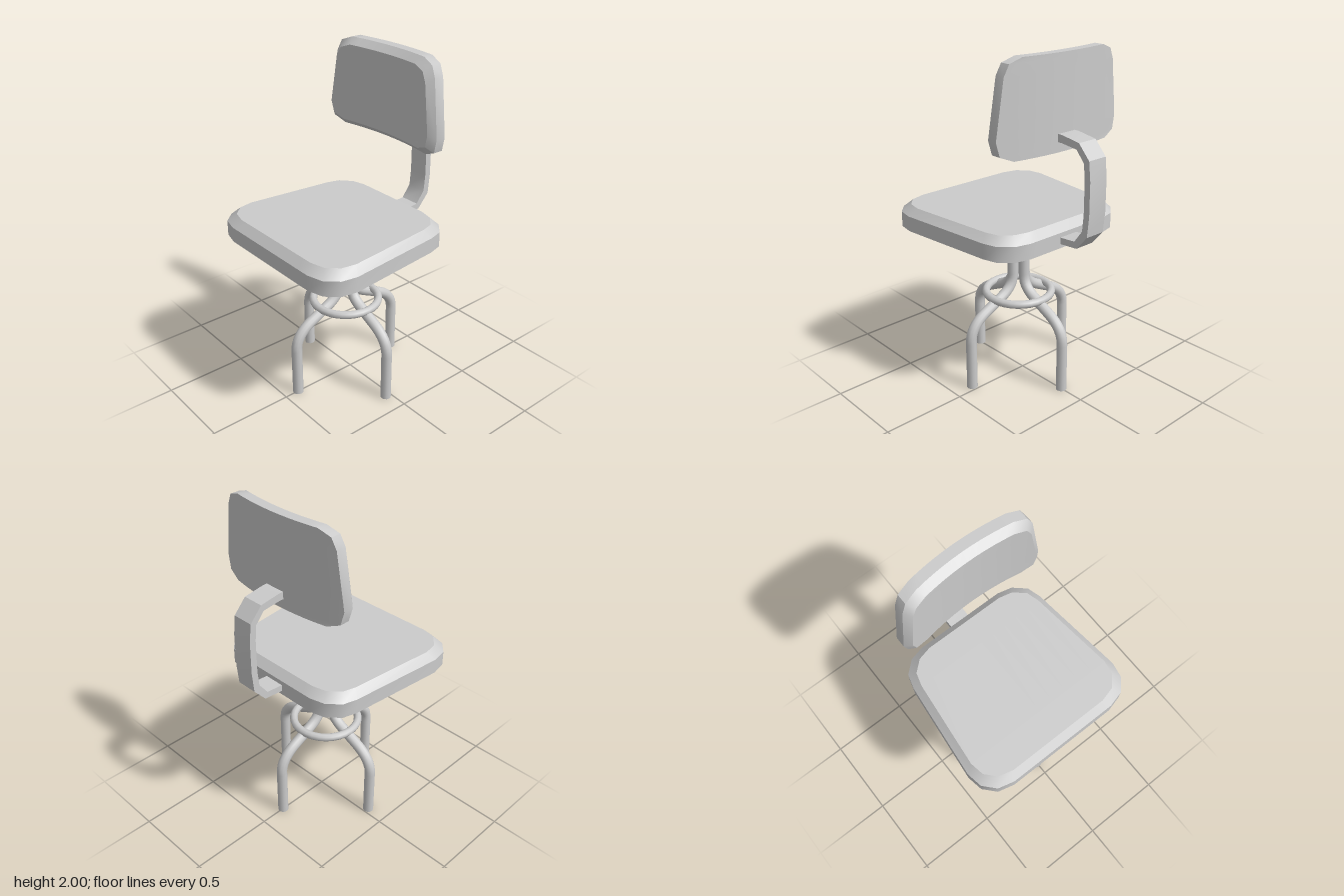
import * as THREE from 'three';
import { toCreasedNormals } from 'three/addons/utils/BufferGeometryUtils.js';

const material = new THREE.MeshStandardMaterial({ color: 0xcccccc });
const CREASE = 0.6;
const BASE_Z = 0.035; // the stand sits slightly forward of the centre

function addMesh(parent, name, geometry) {
  const mesh = new THREE.Mesh(geometry, material);
  mesh.name = name;
  parent.add(mesh);
  return mesh;
}

// Padded panel facing +z. rows: [half width, y] from top to bottom.
// layers: [z, x scale, y scale] from back to front. bend: z = bend * x^2.
function cushion(rows, layers, midY, bend) {
  const cols = 10, last = rows.length - 1, pos = [];
  const point = (layer, r, c) => {
    const [z, sx, sy] = layer;
    const x = rows[r][0] * sx * (2 * c / cols - 1);
    return [x, midY + (rows[r][1] - midY) * sy, z + bend * x * x];
  };
  const quad = (a, b, c, d) => pos.push(...a, ...b, ...c, ...a, ...c, ...d);

  // Counterclockwise walk round the edge of the grid
  const rim = [];
  for (let c = cols; c > 0; c--) rim.push([0, c]);
  for (let r = 0; r < last; r++) rim.push([r, 0]);
  for (let c = 0; c < cols; c++) rim.push([last, c]);
  for (let r = last; r > 0; r--) rim.push([r, cols]);

  for (let l = 0; l < layers.length - 1; l++) {
    const [a, b] = [layers[l], layers[l + 1]];
    rim.forEach((p, i) => {
      const q = rim[(i + 1) % rim.length];
      quad(point(a, ...p), point(a, ...q), point(b, ...q), point(b, ...p));
    });
  }

  // Front and back faces
  const front = layers[layers.length - 1], back = layers[0];
  for (let r = 0; r < last; r++) {
    for (let c = 0; c < cols; c++) {
      quad(point(front, r + 1, c), point(front, r + 1, c + 1), point(front, r, c + 1), point(front, r, c));
      quad(point(back, r, c), point(back, r, c + 1), point(back, r + 1, c + 1), point(back, r + 1, c));
    }
  }
  const geometry = new THREE.BufferGeometry();
  geometry.setAttribute('position', new THREE.Float32BufferAttribute(pos, 3));
  return toCreasedNormals(geometry, CREASE);
}

// Bent leg tube in the xy plane, running outwards along +x
function legGeometry() {
  const v = (x, y) => new THREE.Vector3(x, y, 0);
  const path = new THREE.CurvePath();
  path.add(new THREE.LineCurve3(v(0.047, 0.82), v(0.047, 0.64)));
  path.add(new THREE.QuadraticBezierCurve3(v(0.047, 0.64), v(0.047, 0.56), v(0.14, 0.515)));
  path.add(new THREE.LineCurve3(v(0.14, 0.515), v(0.26, 0.457)));
  path.add(new THREE.QuadraticBezierCurve3(v(0.26, 0.457), v(0.37, 0.405), v(0.375, 0.31)));
  path.add(new THREE.LineCurve3(v(0.375, 0.31), v(0.375, 0)));
  return new THREE.TubeGeometry(path, 40, 0.032, 12);
}

export function createModel() {
  const model = new THREE.Group();
  model.name = 'swivelChair';

  // Seat: rows run from the narrow back to the wide front
  const seat = cushion([
    [0.28, 0.372], [0.37, 0.35], [0.443, 0.285], [0.467, 0.2],
    [0.527, -0.388], [0.51, -0.482], [0.446, -0.552], [0.35, -0.577],
  ], [[0.94, 1, 1], [1.03, 1, 1], [1.075, 0.915, 0.905]], -0.1, 0);
  seat.rotateX(-Math.PI / 2);
  addMesh(model, 'seat', seat);

  // Curved backrest
  addMesh(model, 'backrest', cushion([
    [0.29, 2], [0.365, 1.972], [0.395, 1.91],
    [0.44, 1.59], [0.42, 1.51], [0.34, 1.477],
  ], [[-0.343, 1, 1], [-0.283, 1, 1], [-0.24, 0.914, 0.86]], 1.74, 0.3));

  // Flat bent strap joining seat and backrest, drawn as [distance behind, y]
  const profile = [
    [0.34, 0.965], [0.37, 0.965], [0.492, 0.975], [0.566, 1.06], [0.578, 1.18], [0.578, 1.37],
    [0.566, 1.48], [0.492, 1.56], [0.37, 1.578], [0.31, 1.578],
    [0.31, 1.534], [0.37, 1.534], [0.476, 1.522], [0.53, 1.46], [0.539, 1.37],
    [0.539, 1.18], [0.53, 1.085], [0.476, 1.012], [0.37, 1.003], [0.34, 1.003],
  ];
  const strap = new THREE.ExtrudeGeometry(
    new THREE.Shape(profile.map(([x, y]) => new THREE.Vector2(x, y))),
    { depth: 0.124, bevelEnabled: false });
  strap.translate(0, 0, -0.062).rotateY(Math.PI / 2);
  addMesh(model, 'backStrap', toCreasedNormals(strap, CREASE));

  // Stand: hub, foot ring and four legs
  const stand = new THREE.Group();
  stand.name = 'stand';
  stand.position.z = BASE_Z;
  model.add(stand);

  addMesh(stand, 'hub', new THREE.CylinderGeometry(0.093, 0.093, 0.15, 20)).position.y = 0.875;

  const ring = addMesh(stand, 'footRing', new THREE.TorusGeometry(0.197, 0.024, 10, 32));
  ring.rotation.x = Math.PI / 2;
  ring.position.y = 0.518;

  const tube = legGeometry();
  const cap = new THREE.CircleGeometry(0.032, 12).rotateX(Math.PI / 2).translate(0.375, 0, 0);
  for (let i = 0; i < 4; i++) {
    const leg = new THREE.Group();
    leg.name = 'leg';
    leg.rotation.y = i * Math.PI / 2;
    addMesh(leg, 'legTube', tube);
    addMesh(leg, 'legEnd', cap);
    stand.add(leg);
  }
  return model;
}
